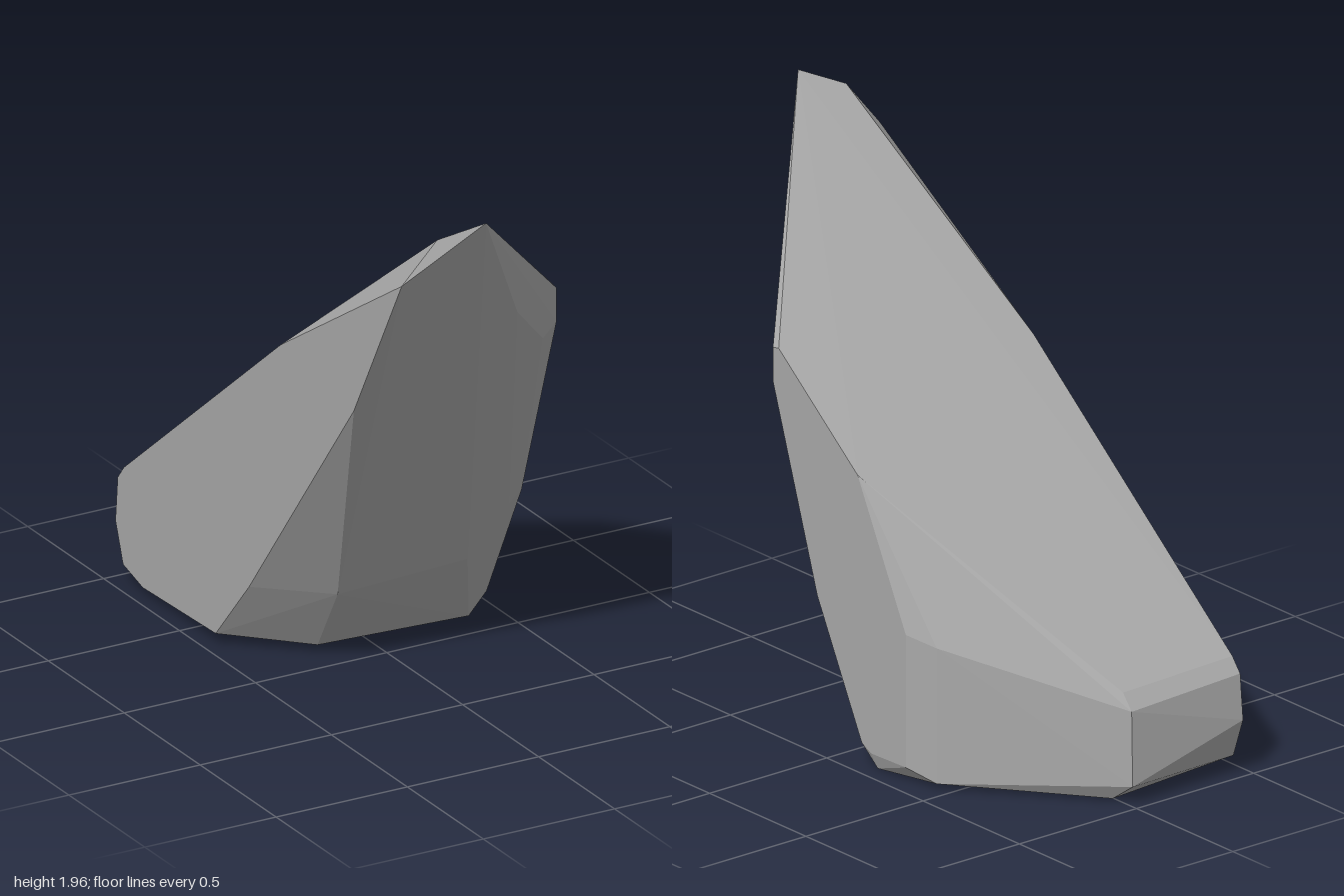
import * as THREE from 'three';
import { ConvexGeometry } from 'three/addons/geometries/ConvexGeometry.js';

const LEFT_X = -0.455, RIGHT_X = 0.45;

// Outlines of the two flat cut sides, as [z, y]
const cutSide = [
  [0.885, 1.745], [0.57, 1.18], [-0.12, 0.29], [-0.34, 0.04], [-0.82, 0.025],
  [-0.95, 0.06], [-1, 0.2], [-0.985, 0.36], [-0.945, 0.41], [0.085, 1.235],
];
const farSide = [
  [0.34, 1.34], [0.34, 1.22], [0.11, 0.53], [-0.12, 0.08], [-0.17, 0.055],
  [-0.35, 0.06], [-0.35, 0.53], [-0.1, 1.02], [0.31, 1.345],
];

// Corners between the two sides, as [x, y, z]
const tip = [[-0.2, 1.96, 1], [-0.34, 1.9, 0.92], [-0.11, 1.79, 0.895]];
const frontCorners = [
  [0.11, 1.45, 0.67], [0.34, 1.22, 0.44], [0.39, 0.5, 0.13],
  [-0.245, 0.3, 0.1], [0.25, 0.32, 0.1],
];
const backCorners = [[0, 0.39, -0.93], [0, 0.335, -0.975], [0, 0.07, -0.98], [0.4, 0.5, -0.45]];
const baseCorners = [
  [-0.2, 0.03, -0.11], [0.37, 0.015, -0.1], [0.43, 0, -0.18],
  [0.4, 0.02, -0.45], [0.2, 0, -0.6], [0.02, 0.01, -0.9],
];

export function createModel() {
  const group = new THREE.Group();
  group.name = 'rockShard';

  const points = [
    ...cutSide.map(([z, y]) => new THREE.Vector3(LEFT_X, y, z)),
    ...farSide.map(([z, y]) => new THREE.Vector3(RIGHT_X, y, z)),
    ...[tip, frontCorners, backCorners, baseCorners].flat().map((p) => new THREE.Vector3(...p)),
  ];

  // One faceted stone wrapped around all the corners
  const stone = new THREE.MeshStandardMaterial({ color: 0xa8a8a8 });
  stone.name = 'greyStone';
  stone.flatShading = true;
  const rock = new THREE.Mesh(new ConvexGeometry(points), stone);
  rock.name = 'leaningRock';
  group.add(rock);
  return group;
}
